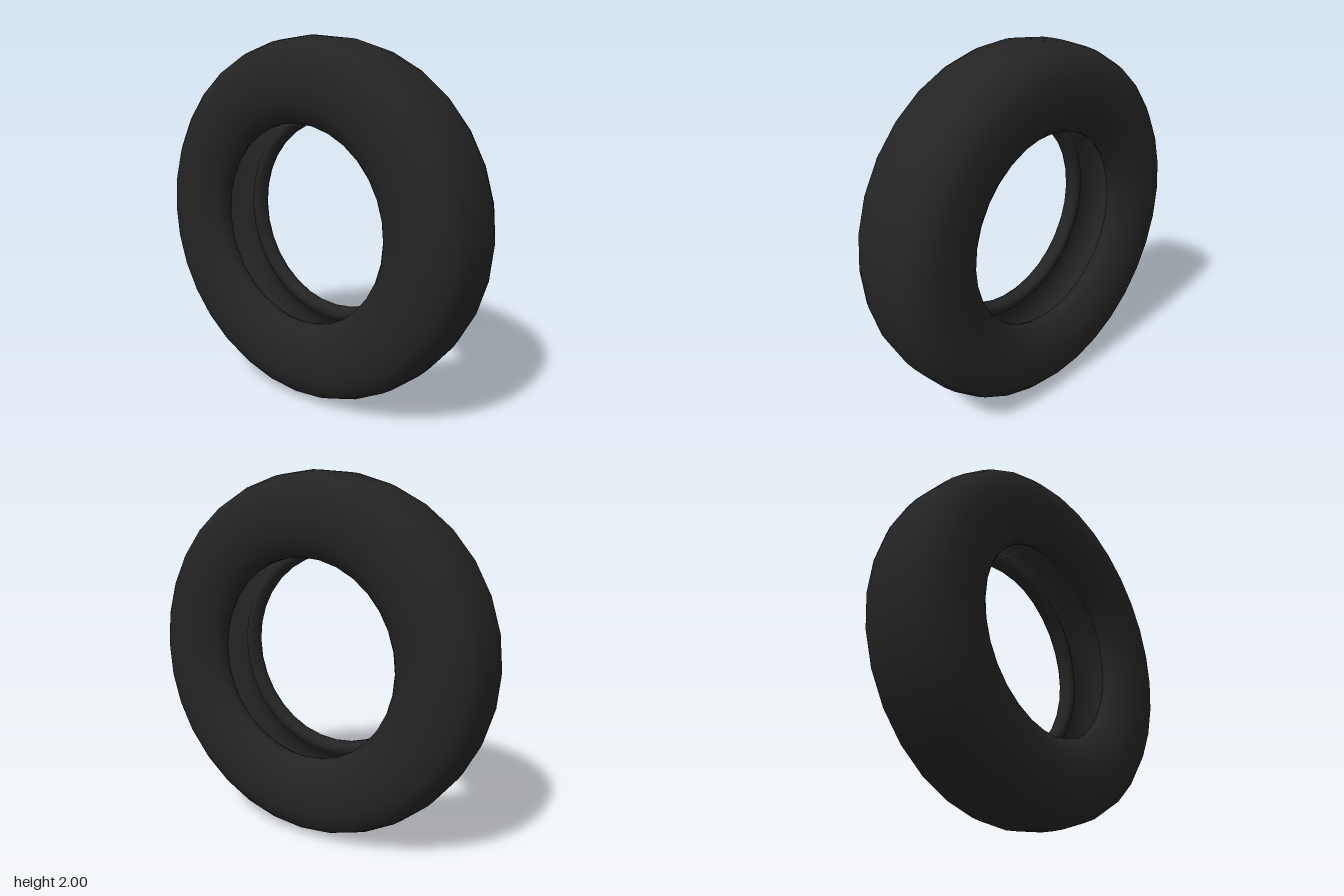
import * as THREE from 'three';

export function createModel() {
  const group = new THREE.Group();
  group.name = 'tyre';
  const rubber = new THREE.MeshStandardMaterial({ color: 0x242424 });
  rubber.name = 'black rubber';

  // Half cross-section [radius, offset] from mid tread over the sidewall, round the bead and into the cavity
  const half = [
    [1.0, 0], [0.998, 0.07], [0.985, 0.145], [0.962, 0.2], [0.91, 0.25], [0.84, 0.268],
    [0.75, 0.275], [0.67, 0.262], [0.61, 0.235], [0.57, 0.205],
    [0.552, 0.18], [0.552, 0.15], [0.565, 0.122], [0.59, 0.112], [0.62, 0.125],
    [0.67, 0.18], [0.75, 0.215], [0.85, 0.205], [0.915, 0.15], [0.93, 0.07], [0.93, 0],
  ];
  // Mirror it into one closed loop, starting and ending at the middle of the cavity
  const mirrored = half.slice(1).reverse().map(([r, z]) => [r, -z]);
  const profile = [...mirrored, ...half].map(([r, z]) => new THREE.Vector2(r, z));

  // Sweep round the axle, then turn the axle to face front
  const geometry = new THREE.LatheGeometry(profile, 32);
  geometry.rotateX(Math.PI / 2);

  const tyre = new THREE.Mesh(geometry, rubber);
  tyre.name = 'tyreBody';
  tyre.position.y = 1;
  group.add(tyre);
  return group;
}
